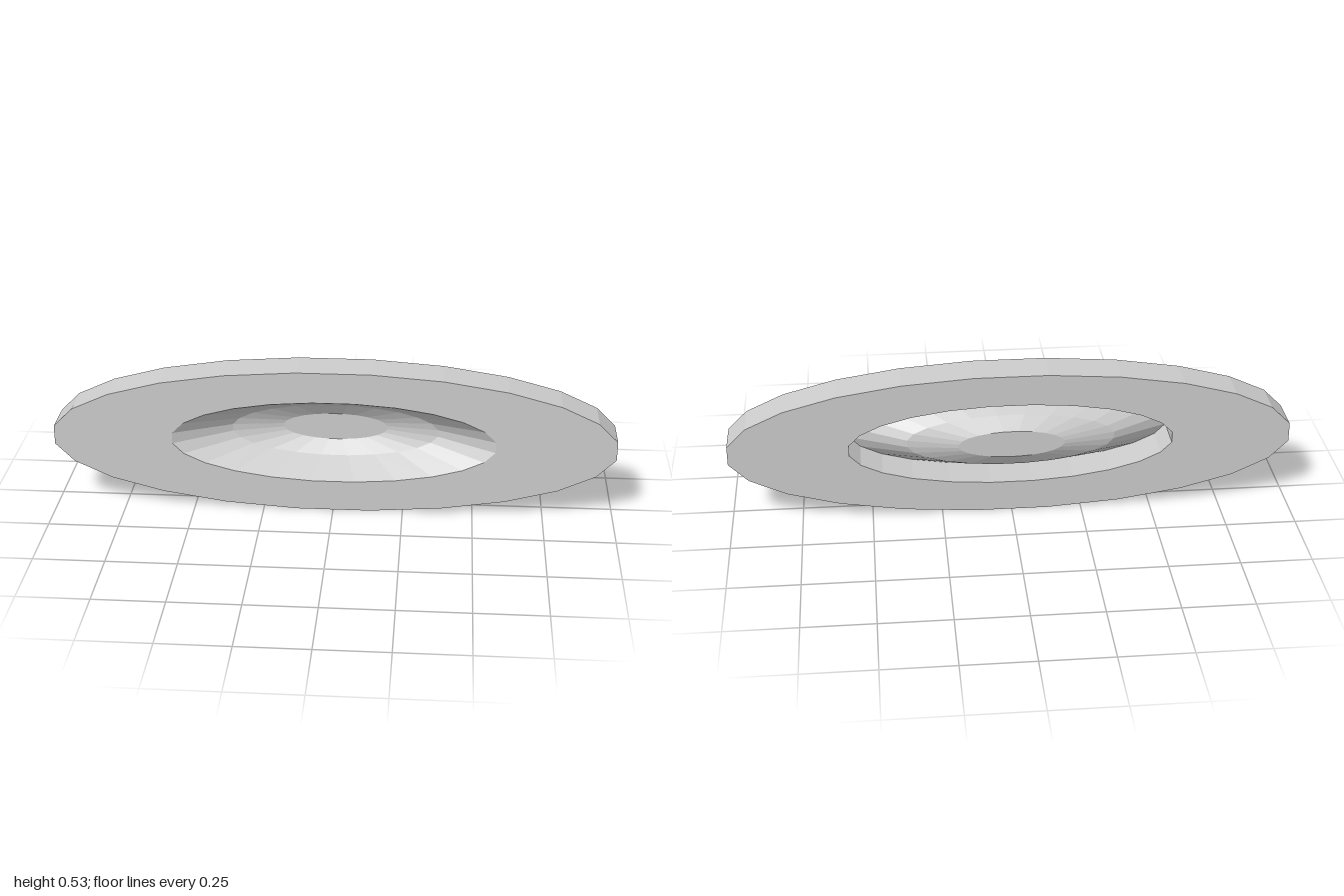
import * as THREE from 'three';

const SIDES = 24;
const DEPTH = 0.07; // half thickness along z
const HALF_HEIGHT = 0.266;
const STEP = (Math.PI * 2) / SIDES;

// Turns a [radius, z] profile into a faceted oval facing +z
function ovalLathe(name, profile, material) {
  const points = profile.map(([r, z]) => new THREE.Vector2(r, z));
  const geometry = new THREE.LatheGeometry(points, SIDES, STEP / 2);
  const fit = 1 / Math.cos(STEP / 2); // facet corners reach the full size
  geometry.rotateX(Math.PI / 2);
  geometry.scale(fit, fit * HALF_HEIGHT, 1);
  geometry.translate(0, HALF_HEIGHT, 0);
  const mesh = new THREE.Mesh(geometry, material);
  mesh.name = name;
  return mesh;
}

export function createModel() {
  const group = new THREE.Group();
  group.name = 'ovalDish';
  const solid = new THREE.MeshStandardMaterial({ color: 0xcccccc, flatShading: true });
  const thin = solid.clone();
  thin.side = THREE.DoubleSide;

  const outer = 1;
  const inner = 0.575;

  // Flat oval ring with straight outer and inner walls
  group.add(ovalLathe('rimRing', [
    [outer, -DEPTH], [outer, DEPTH], [inner, DEPTH], [inner, -DEPTH], [outer, -DEPTH],
  ], solid));

  // Thin bowl sinking from the front edge of the hole to the back plane
  group.add(ovalLathe('bowl', [
    [inner, DEPTH], [0.37, -0.035], [0.188, -DEPTH],
  ], thin));

  // Flat centre of the bowl
  group.add(ovalLathe('bowlCentre', [[0.188, -DEPTH], [0, -DEPTH]], thin));

  return group;
}
